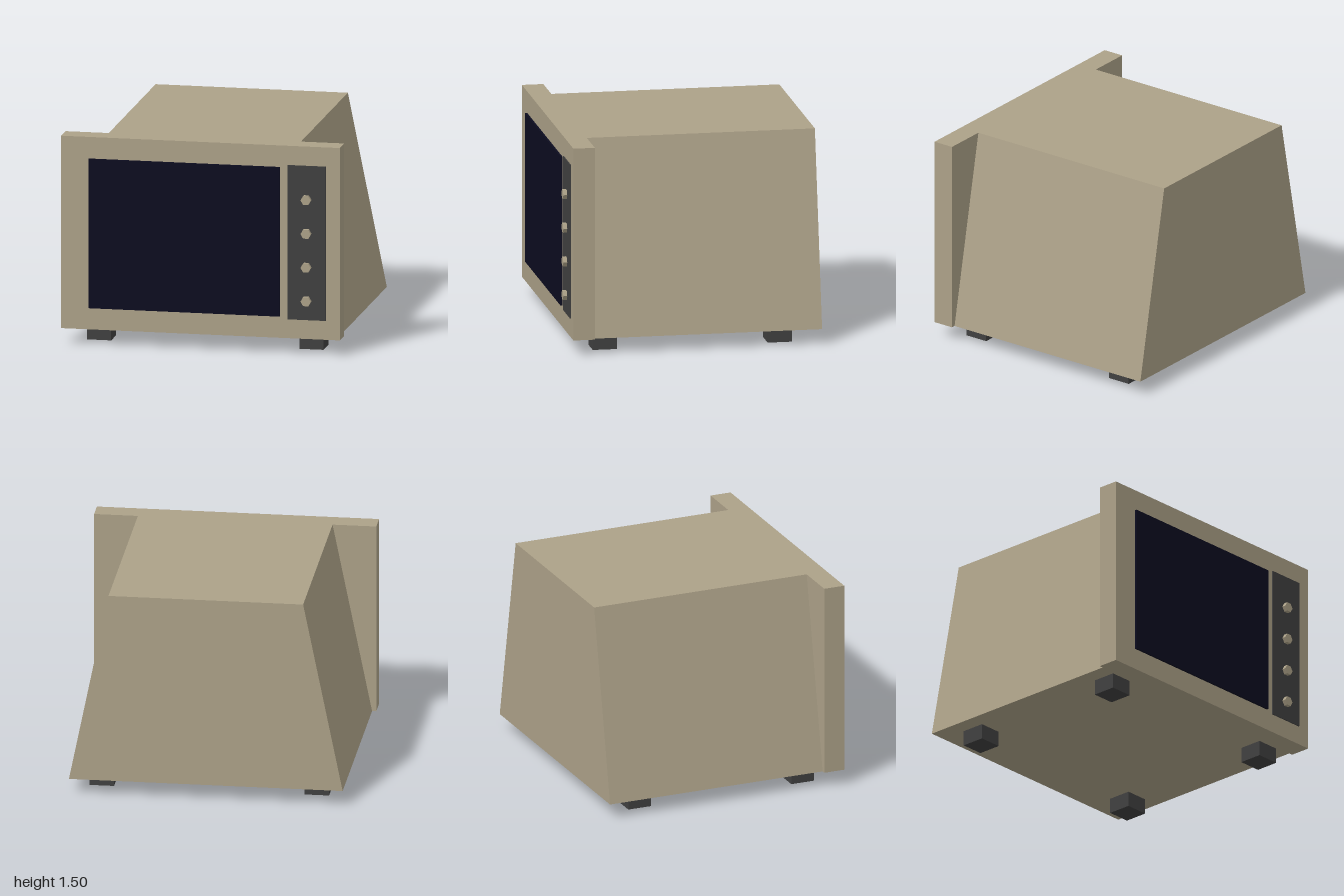
import * as THREE from 'three';

const flat = (name, color) => {
  const m = new THREE.MeshStandardMaterial({ color });
  m.name = name;
  return m;
};

export function createModel() {
  const group = new THREE.Group();
  const tan = flat('tanCasing', 0xaca188);
  const charcoal = flat('charcoal', 0x404040);
  const navy = flat('darkGlass', 0x0c0c20);

  const add = (name, geometry, material) => {
    const mesh = new THREE.Mesh(geometry, material);
    mesh.name = name;
    group.add(mesh);
    return mesh;
  };
  // Box given by its lower and upper limits on each axis
  const box = (name, material, [x0, x1], [y0, y1], [z0, z1]) =>
    add(name, new THREE.BoxGeometry(x1 - x0, y1 - y0, z1 - z0), material)
      .position.set((x0 + x1) / 2, (y0 + y1) / 2, (z0 + z1) / 2);

  // Casing: trapezoid section, narrower at the top, run from back to front
  const section = new THREE.Shape([
    new THREE.Vector2(-0.97, 0.11),
    new THREE.Vector2(0.97, 0.11),
    new THREE.Vector2(0.69, 1.495),
    new THREE.Vector2(-0.69, 1.495),
  ]);
  const casing = new THREE.ExtrudeGeometry(section, { depth: 1.63, bevelEnabled: false });
  casing.translate(0, 0, -0.91);
  add('casing', casing, tan);

  // Front frame with screen and control panel
  box('frontFrame', tan, [-1, 1], [0.11, 1.495], [0.72, 0.873]);
  box('screen', navy, [-0.8, 0.57], [0.265, 1.34], [0.873, 0.887]);
  box('controlPanel', charcoal, [0.625, 0.9], [0.247, 1.357], [0.873, 0.88]);

  // Hexagonal knobs
  const knob = new THREE.CylinderGeometry(0.037, 0.037, 0.03, 6).toNonIndexed();
  knob.rotateY(Math.PI / 6).rotateX(Math.PI / 2);
  knob.computeVertexNormals();
  for (let i = 0; i < 4; i++) {
    add('knob', knob, tan).position.set(0.762, 0.385 + i * 0.243, 0.893);
  }

  // Feet
  for (const x of [-0.762, 0.762]) {
    for (const z of [-0.63, 0.62]) {
      box('foot', charcoal, [x - 0.087, x + 0.087], [0, 0.11], [z - 0.087, z + 0.087]);
    }
  }
  return group;
}
